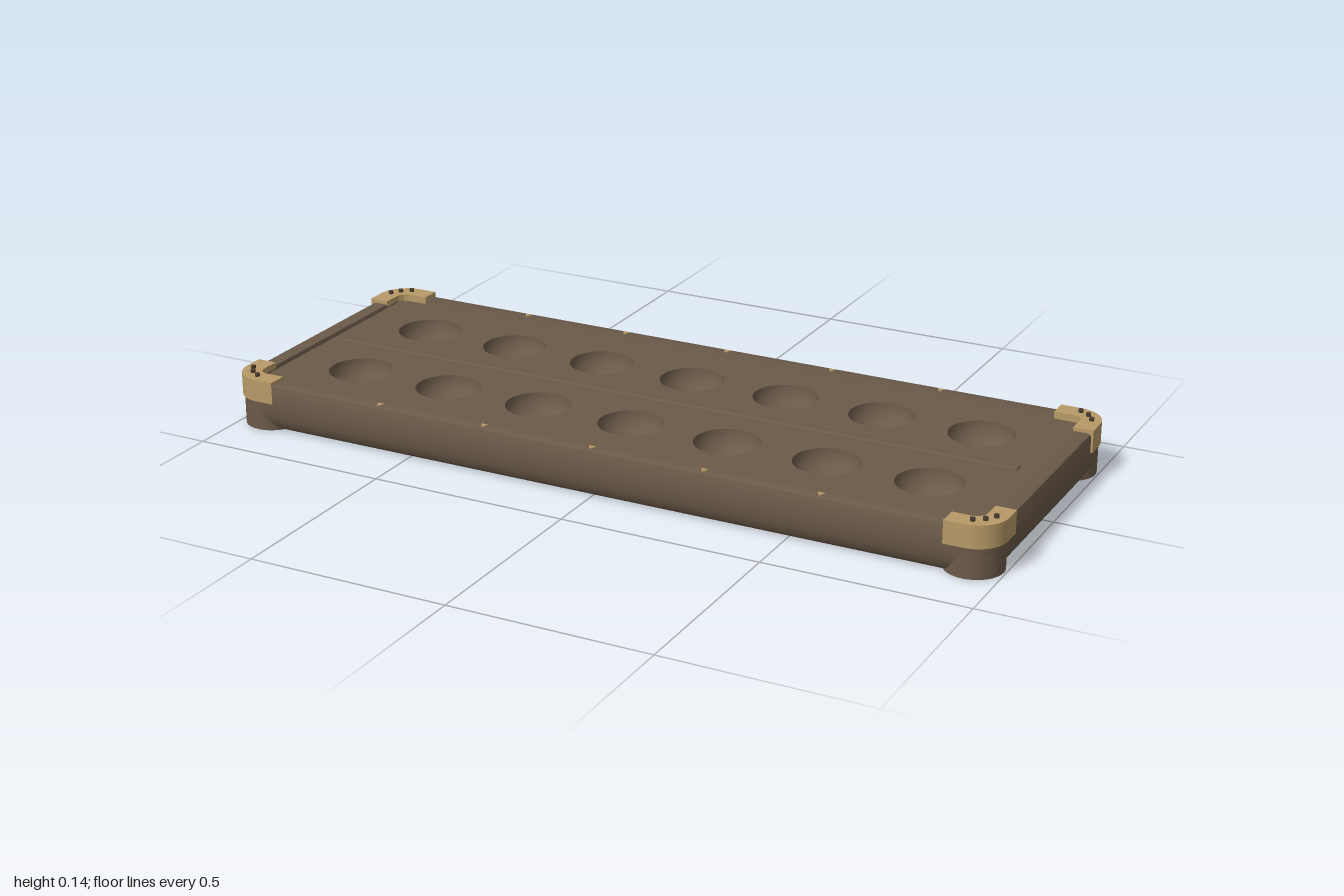
import * as THREE from 'three';
import { toCreasedNormals } from 'three/addons/utils/BufferGeometryUtils.js';

const W = 0.995, D = 0.373, R = 0.07, RIM = 0.046, PANEL_Y = 0.113, PIT_R = 0.08;

// Rounded rectangle outline, drawn in from the outer edge by inset
function outline(inset) {
  const r = Math.max(R - inset, 0.012), pts = [], n = 10;
  const cx = W - inset - r, cy = D - inset - r;
  [[1, 1], [-1, 1], [-1, -1], [1, -1]].forEach(([sx, sy], q) => {
    for (let i = 0; i <= n; i++) {
      const a = (q + i / n) * Math.PI / 2;
      pts.push(new THREE.Vector2(sx * cx + r * Math.cos(a), sy * cy + r * Math.sin(a)));
    }
  });
  return pts;
}

// Skin through outlines given as [y, inset]
function loft(rows) {
  const pos = [], index = [];
  const n = outline(0).length;
  rows.forEach(([y, inset]) => outline(inset).forEach(p => pos.push(p.x, y, -p.y)));
  for (let j = 0; j < rows.length - 1; j++) {
    for (let i = 0; i < n; i++) {
      const a = j * n + i, b = j * n + (i + 1) % n;
      index.push(a, b, a + n, b, b + n, a + n);
    }
  }
  const g = new THREE.BufferGeometry();
  g.setAttribute('position', new THREE.Float32BufferAttribute(pos, 3));
  g.setIndex(index);
  return toCreasedNormals(g, 0.65);
}

export function createModel() {
  const wood = new THREE.MeshStandardMaterial({ color: 0x6b5a49 });
  wood.name = 'wood';
  const brass = new THREE.MeshStandardMaterial({ color: 0xb89a68 });
  brass.name = 'brass';
  const iron = new THREE.MeshStandardMaterial({ color: 0x4a3d30 });
  iron.name = 'darkMetal';

  const model = new THREE.Group();
  model.name = 'pitBoard';
  const add = (name, geometry, material, x = 0, y = 0, z = 0) => {
    const mesh = new THREE.Mesh(geometry, material);
    mesh.name = name;
    mesh.position.set(x, y, z);
    model.add(mesh);
    return mesh;
  };

  // Outer frame with a rounded lower edge and a raised rim
  add('frame', loft([
    [0, 0.03], [0.006, 0.019], [0.017, 0.01], [0.035, 0.004], [0.06, 0], [0.112, 0],
    [0.119, 0.003], [0.122, 0.009], [0.122, RIM - 0.003], [PANEL_Y, RIM],
  ]), wood);
  add('base', new THREE.ShapeGeometry(new THREE.Shape(outline(0.03))).rotateX(Math.PI / 2), wood);

  // Playing surface with two rows of round pits
  const panel = new THREE.Shape(outline(RIM));
  const bowlProfile = [];
  for (let i = 0; i <= 12; i++) {
    const a = i / 12 * Math.PI / 2;
    bowlProfile.push(new THREE.Vector2(i === 12 ? 0 : PIT_R * Math.cos(a), -0.065 * Math.sin(a)));
  }
  const bowl = new THREE.LatheGeometry(bowlProfile, 40);
  for (const z of [-0.16, 0.16]) {
    for (let i = -3; i <= 3; i++) {
      const x = i * 0.253;
      const hole = new THREE.Path();
      hole.absarc(x, -z, PIT_R, 0, Math.PI * 2, true);
      panel.holes.push(hole);
      add('pit', bowl, wood, x, PANEL_Y, z);
    }
  }
  add('panel', new THREE.ShapeGeometry(panel, 20).rotateX(-Math.PI / 2), wood, 0, PANEL_Y, 0);

  // Low dividing ridge
  const ridge = new THREE.CylinderGeometry(0.012, 0.012, 1.82, 16).rotateZ(Math.PI / 2);
  add('dividingRidge', ridge, wood, 0, PANEL_Y, 0).scale.y = 0.5;

  // Corner posts, brass corner caps and rivets
  const post = new THREE.CylinderGeometry(R, R, 0.11, 40);
  const rivet = new THREE.CylinderGeometry(0.006, 0.006, 0.012, 12);
  const capX = 1, capZ = 0.377, r = 0.075, t = 0.05, leg = 0.123, ri = 0.03;
  for (const sx of [-1, 1]) {
    for (const sz of [-1, 1]) {
      add('cornerPost', post, wood, sx * (W - R), 0.055, sz * (D - R));

      const s = new THREE.Shape();
      const pt = (dx, dz) => [sx * (capX - dx), -sz * (capZ - dz)];
      const k = 0.448;
      s.moveTo(...pt(leg, 0));
      s.lineTo(...pt(r, 0));
      s.bezierCurveTo(...pt(r * k, 0), ...pt(0, r * k), ...pt(0, r));
      s.lineTo(...pt(0, leg));
      s.lineTo(...pt(t, leg));
      s.lineTo(...pt(t, t + ri));
      s.quadraticCurveTo(...pt(t, t), ...pt(t + ri, t));
      s.lineTo(...pt(leg, t));
      s.closePath();
      const cap = new THREE.ExtrudeGeometry(s, { depth: 0.056, bevelEnabled: false, curveSegments: 12 });
      add('cornerCap', toCreasedNormals(cap.rotateX(-Math.PI / 2), 0.6), brass, 0, 0.075, 0);

      for (const [dx, dz] of [[0.065, 0.025], [0.041, 0.041], [0.025, 0.065]]) {
        add('rivet', rivet, iron, sx * (capX - dx), 0.133, sz * (capZ - dz));
      }
    }
  }

  // Small brass triangles set into the long rails
  const marker = new THREE.CylinderGeometry(0.011, 0.011, 0.004, 3);
  for (const z of [-0.353, 0.353]) {
    for (let i = -2; i <= 2; i++) add('railMarker', marker, brass, i * 0.289, 0.122, z);
  }
  return model;
}
